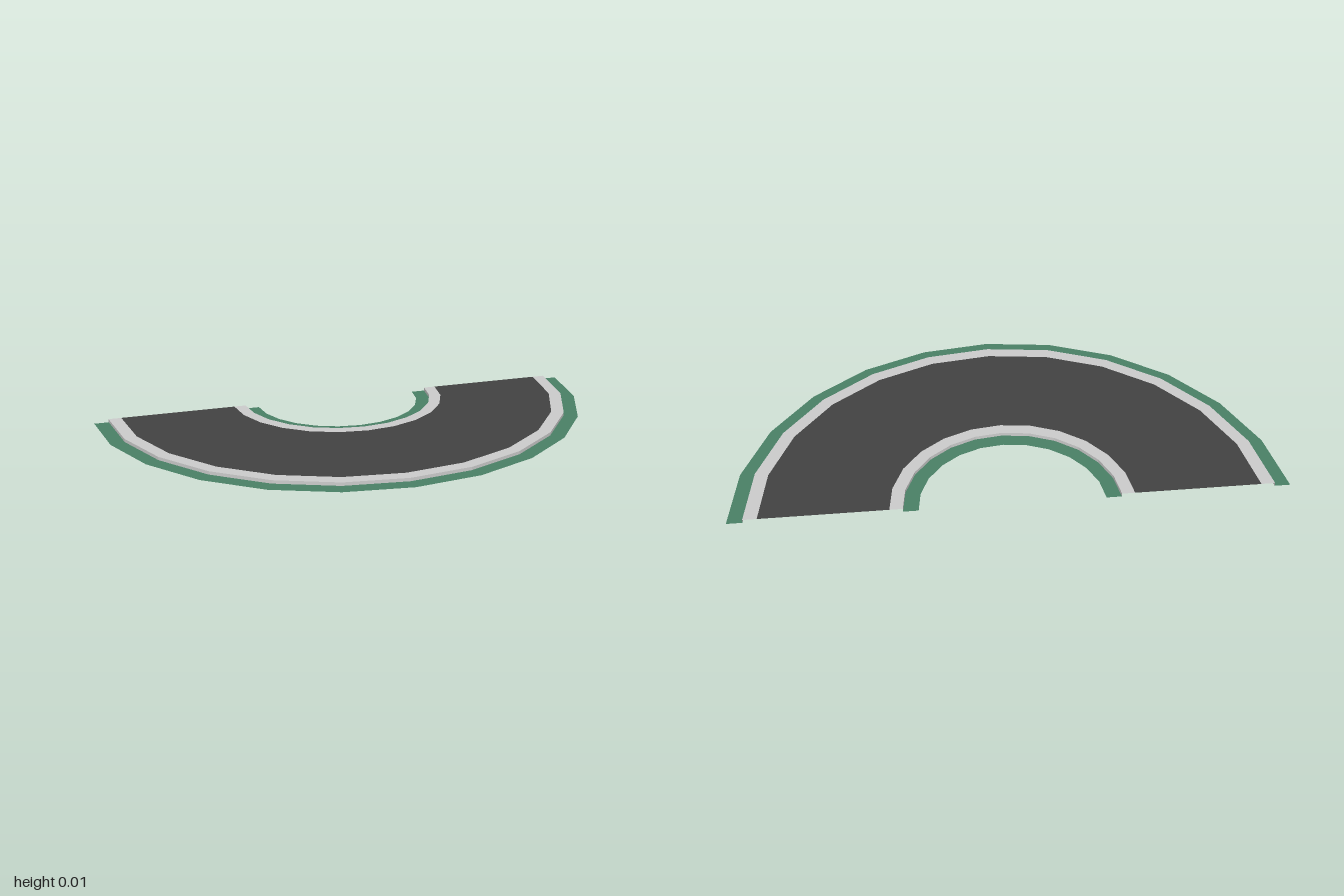
import * as THREE from 'three';

const SEGMENTS = 12;
const TOP = 0.013; // height of the raised road deck

function material(color) {
  return new THREE.MeshStandardMaterial({ color, flatShading: true, side: THREE.DoubleSide });
}

// Half-turn band swept from profile points [radius, height], listed outer to inner
function band(name, points, mat) {
  const profile = points.map(([r, y]) => new THREE.Vector2(r, y));
  const mesh = new THREE.Mesh(
    new THREE.LatheGeometry(profile, SEGMENTS, -Math.PI / 2, Math.PI), mat);
  mesh.name = name;
  mesh.position.z = -0.5;
  return mesh;
}

export function createModel() {
  const group = new THREE.Group();
  group.name = 'curvedRoad';
  const grass = material(0x4a8066);
  const kerb = material(0xcccccc);
  const asphalt = material(0x424242);

  group.add(
    // Flat grass verges on the ground
    band('outerVerge', [[1, 0], [0.943, 0]], grass),
    band('innerVerge', [[0.388, 0], [0.333, 0]], grass),
    // Kerbs: a short wall and a flat top
    band('outerKerb', [[0.943, 0], [0.943, TOP], [0.893, TOP]], kerb),
    band('innerKerb', [[0.435, TOP], [0.388, TOP], [0.388, 0]], kerb),
    // Road surface
    band('roadSurface', [[0.893, TOP], [0.435, TOP]], asphalt),
  );
  return group;
}
